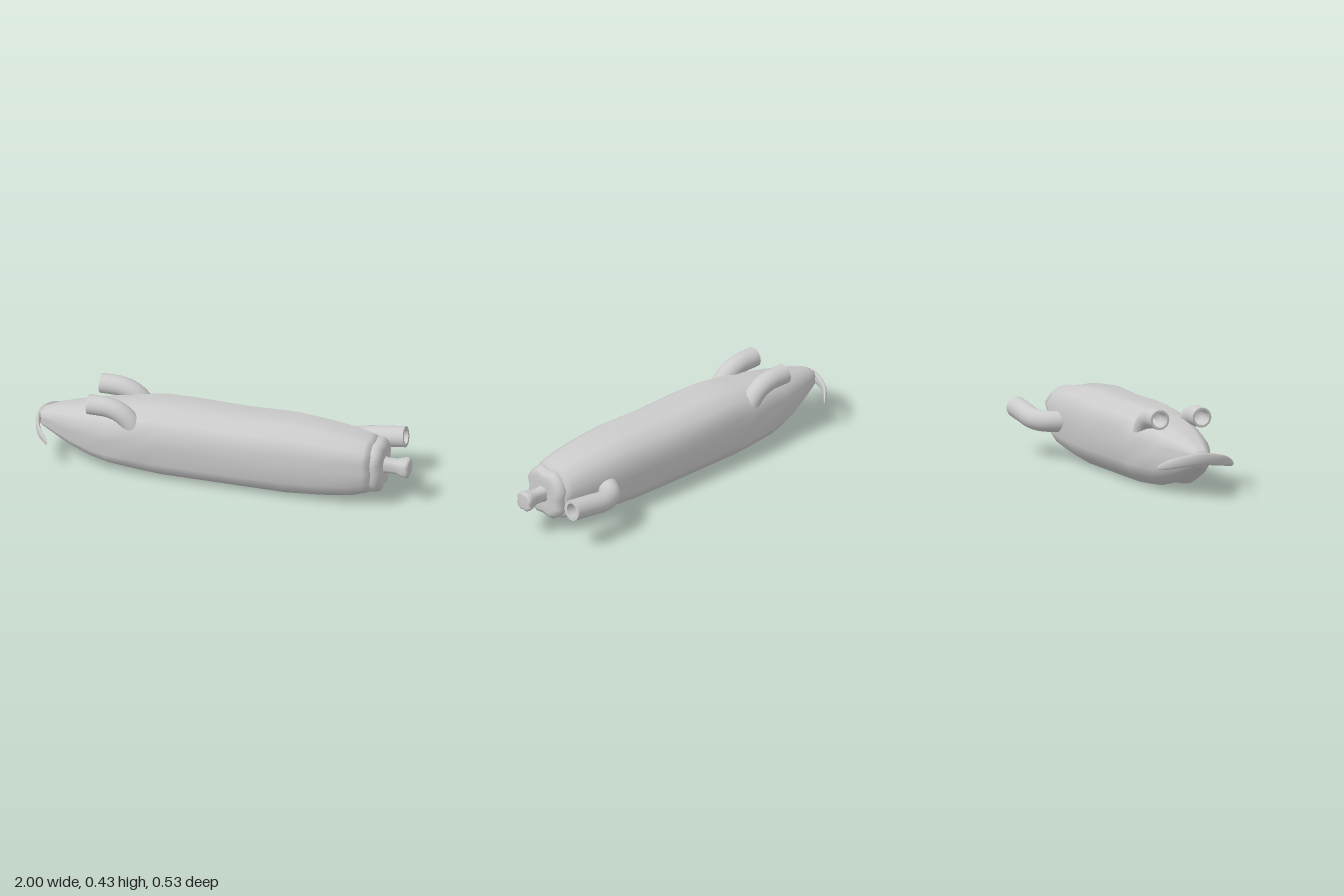
import * as THREE from 'three';

const AXIS_Z = 0.053; // the bag's long axis is offset from z = 0
const V = (x, y, z) => new THREE.Vector3(x, y, z);

// Joins equal-sized closed rings of points into one smooth skin.
function loft(rings) {
  const n = rings[0].length, pos = [], idx = [];
  rings.forEach(r => r.forEach(p => pos.push(p.x, p.y, p.z)));
  for (let i = 0; i < rings.length - 1; i++) {
    for (let j = 0; j < n; j++) {
      const a = i * n + j, b = i * n + (j + 1) % n, c = a + n, d = b + n;
      idx.push(a, b, c, b, d, c);
    }
  }
  const g = new THREE.BufferGeometry();
  g.setAttribute('position', new THREE.Float32BufferAttribute(pos, 3));
  g.setIndex(idx);
  g.computeVertexNormals();
  return g;
}

// Four-lobed cross-section as [z, y], one quarter mirrored to all four.
const quarter = [[0, 0.93], [0.41, 1], [0.75, 0.77], [1, 0.41], [0.89, 0]];
const lobed = [
  ...quarter,
  ...quarter.slice(0, 4).reverse().map(([z, y]) => [z, -y]),
  ...quarter.slice(1).map(([z, y]) => [-z, -y]),
  ...quarter.slice(1, 4).reverse().map(([z, y]) => [-z, y]),
];

// Rows are [x, centre y, half height, half depth].
const lobedSkin = rows => loft(rows.map(([x, cy, ry, rz]) =>
  lobed.map(([z, y]) => V(x, cy + y * ry, AXIS_Z + z * rz))));

// An elliptical ring around a curve at t; ref sets the direction of radius ra.
function ringOn(curve, t, ra, rb, ref, sides) {
  const c = curve.getPointAt(t), dir = curve.getTangentAt(t);
  const n = ref.clone().addScaledVector(dir, -ref.dot(dir)).normalize();
  const b = dir.clone().cross(n);
  return Array.from({ length: sides }, (_, k) => {
    const a = (k / sides) * Math.PI * 2;
    return c.clone().addScaledVector(n, Math.cos(a) * ra).addScaledVector(b, Math.sin(a) * rb);
  });
}

// Bent pipe with an open, hollow end and a flat rim.
function pipe(points, radius, bore, ref) {
  const curve = new THREE.CatmullRomCurve3(points);
  const rings = [], add = (t, r) => rings.push(ringOn(curve, t, r, r, ref, 20));
  for (let i = 0; i <= 20; i++) add(i / 20, radius);
  add(1, radius);
  add(1, bore);
  for (let i = 20; i >= 8; i--) add(i / 20, bore);
  add(0.4, 0.0001);
  return loft(rings);
}

export function createModel() {
  const model = new THREE.Group();
  const material = new THREE.MeshStandardMaterial({ color: 0xcccccc });
  const add = (name, geometry) => {
    const mesh = new THREE.Mesh(geometry, material);
    mesh.name = name;
    model.add(mesh);
  };

  // Long fluted body, tapering to a nose at -x
  add('body', lobedSkin([
    [-0.985, 0.207, 0, 0],
    [-0.985, 0.207, 0.035, 0.038],
    [-0.965, 0.206, 0.05, 0.05],
    [-0.88, 0.2, 0.085, 0.086],
    [-0.8, 0.193, 0.113, 0.115],
    [-0.69, 0.186, 0.143, 0.15],
    [-0.6, 0.185, 0.162, 0.167],
    [-0.42, 0.194, 0.184, 0.188],
    [-0.32, 0.199, 0.195, 0.193],
    [-0.15, 0.2, 0.196, 0.195],
    [0.1, 0.197, 0.193, 0.195],
    [0.36, 0.201, 0.197, 0.194],
    [0.55, 0.201, 0.183, 0.183],
    [0.7, 0.201, 0.166, 0.165],
    [0.78, 0.204, 0.145, 0.148],
    [0.82, 0.205, 0.132, 0.135],
    [0.83, 0.205, 0, 0],
  ]));

  // Rounded collar closing the wide end
  add('collar', lobedSkin([
    [0.8, 0.205, 0, 0],
    [0.802, 0.205, 0.125, 0.125],
    [0.815, 0.205, 0.135, 0.134],
    [0.84, 0.205, 0.134, 0.133],
    [0.86, 0.205, 0.122, 0.12],
    [0.868, 0.205, 0.1, 0.1],
    [0.866, 0.205, 0.06, 0.06],
    [0.866, 0.205, 0, 0],
  ]));

  // Flared mouthpiece
  add('mouthpiece', lobedSkin([
    [0.85, 0.207, 0.045, 0.042],
    [0.88, 0.207, 0.038, 0.034],
    [0.93, 0.207, 0.038, 0.034],
    [0.96, 0.207, 0.047, 0.047],
    [0.985, 0.207, 0.051, 0.053],
    [0.997, 0.207, 0.048, 0.049],
    [1, 0.207, 0.038, 0.038],
    [1, 0.207, 0, 0],
  ]));

  // Pair of upper pipes pointing towards the nose
  for (const side of [1, -1]) {
    const z = AXIS_Z + side * 0.117;
    add(side > 0 ? 'frontUpperPipe' : 'backUpperPipe', pipe([
      V(-0.44, 0.24, z), V(-0.465, 0.3, z), V(-0.52, 0.352, z),
      V(-0.59, 0.376, z), V(-0.64, 0.378, z), V(-0.695, 0.378, z),
    ], 0.052, 0.04, V(0, 0, 1)));
  }

  // Side pipe, elbowed towards the mouthpiece
  add('sidePipe', pipe([
    V(0.54, 0.198, -0.05), V(0.565, 0.198, -0.12), V(0.61, 0.198, -0.18),
    V(0.68, 0.204, -0.21), V(0.78, 0.218, -0.213), V(0.9, 0.233, -0.213),
  ], 0.055, 0.037, V(0, 1, 0)));

  // Thin crescent fin swept back from the nose
  const half = [[-0.95, 0.187, 0.145], [-0.976, 0.2, 0.085]];
  const tip = [-0.889, 0.16, 0.212];
  const place = s => ([x, y, z]) => V(x, y, AXIS_Z + s * z);
  const finCurve = new THREE.CatmullRomCurve3([
    ...[tip, ...half].map(place(-1)), V(-0.988, 0.21, AXIS_Z),
    ...[tip, ...half].reverse().map(place(1)),
  ]);
  const finRings = [];
  for (let i = 0; i <= 32; i++) {
    const t = i / 32, f = Math.sqrt(Math.max(0, 1 - (2 * t - 1) ** 2));
    finRings.push(ringOn(finCurve, t, 0.004 + 0.028 * f, 0.001 + 0.011 * f, V(0, 1, 0), 12));
  }
  add('noseFin', loft(finRings));

  return model;
}
